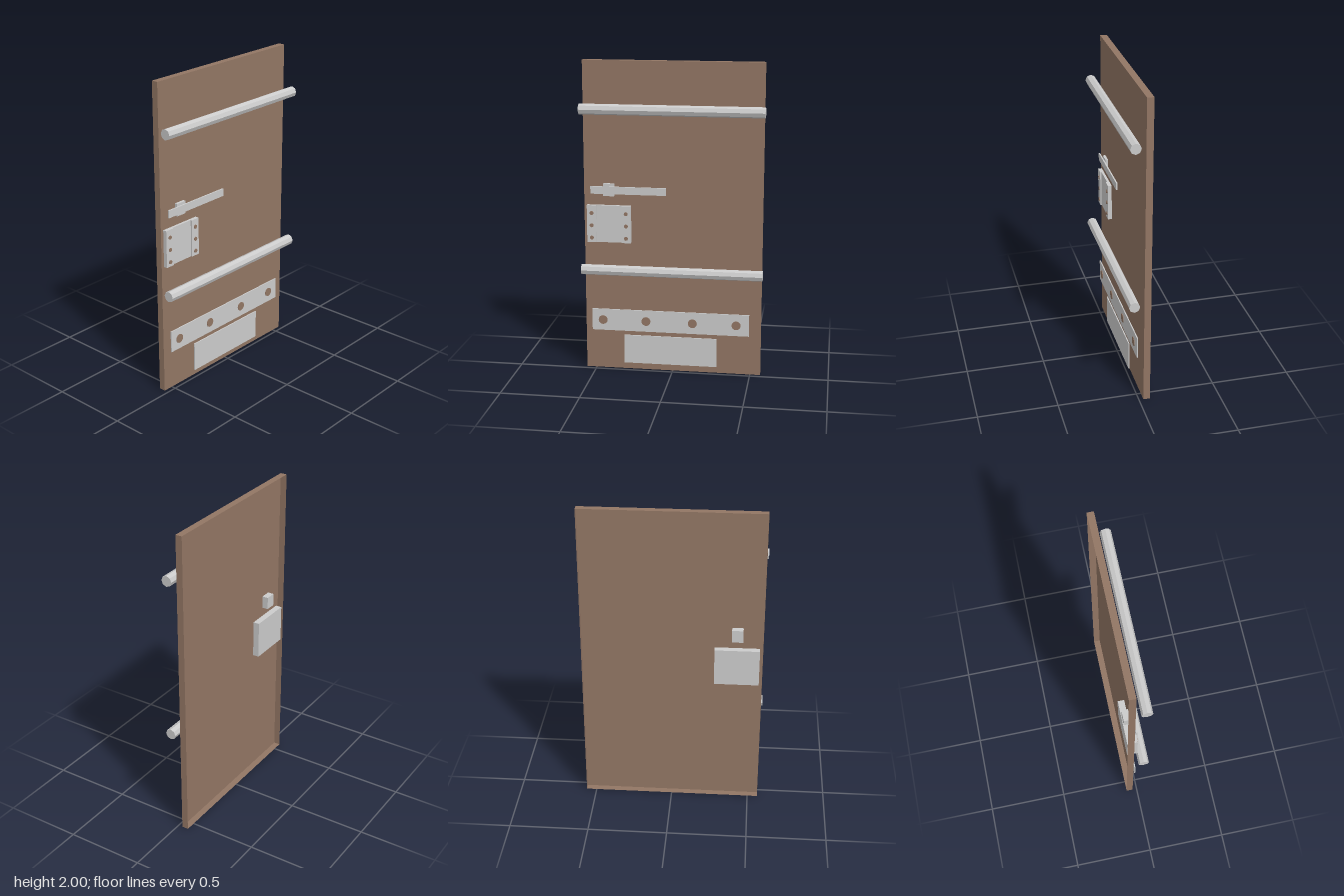
import * as THREE from 'three';

export function createModel() {
  const model = new THREE.Group();
  const metal = new THREE.MeshStandardMaterial({ color: 0xcccccc, flatShading: true });
  const brown = new THREE.MeshStandardMaterial({ color: 0x927664, flatShading: true });
  const brownSheet = new THREE.MeshStandardMaterial({ color: 0x927664, side: THREE.DoubleSide });

  function add(name, geometry, material, parent = model) {
    const mesh = new THREE.Mesh(geometry, material);
    mesh.name = name;
    parent.add(mesh);
    return mesh;
  }

  // Box given by its limits on each axis
  function box(name, [x0, x1], [y0, y1], [z0, z1], material = metal, parent = model) {
    const mesh = add(name, new THREE.BoxGeometry(x1 - x0, y1 - y0, z1 - z0), material, parent);
    mesh.position.set((x0 + x1) / 2, (y0 + y1) / 2, (z0 + z1) / 2);
    return mesh;
  }

  // Thin round inset facing the front
  function disc(name, x, y, r, parent) {
    const mesh = add(name, new THREE.CylinderGeometry(r, r, 0.004, 16), brown, parent);
    mesh.rotation.x = Math.PI / 2;
    mesh.position.set(x, y, -0.001);
  }

  // Door: a thin shell, open at the back
  const door = new THREE.Group();
  door.name = 'door';
  model.add(door);
  const W = 1.13, H = 2, back = -0.07, front = -0.028, depth = front - back;
  add('doorFront', new THREE.PlaneGeometry(W, H), brownSheet, door).position.set(0, H / 2, front);
  for (const s of [-1, 1]) {
    const side = add('doorSide', new THREE.PlaneGeometry(depth, H), brownSheet, door);
    side.rotation.y = s * Math.PI / 2;
    side.position.set(s * W / 2, H / 2, (front + back) / 2);
    const end = add('doorEnd', new THREE.PlaneGeometry(W, depth), brownSheet, door);
    end.rotation.x = -s * Math.PI / 2;
    end.position.set(0, s > 0 ? H : 0, (front + back) / 2);
  }

  // Two eight-sided bars across the front
  for (const y of [0.68, 1.705]) {
    const bar = add('crossBar', new THREE.CylinderGeometry(0.034, 0.034, 1.15, 8), metal);
    bar.rotation.z = Math.PI / 2;
    bar.position.set(0, y, 0.035);
  }

  // Lock: a block through the door with a raised strip of bolts on each side
  const lock = new THREE.Group();
  lock.name = 'lock';
  model.add(lock);
  box('lockBlock', [-0.545, -0.265], [0.85, 1.09], [-0.068, -0.012], metal, lock);
  for (const s of [-1, 1]) {
    const x = -0.405 + s * 0.11;
    box('lockStrip', [x - 0.03, x + 0.03], [0.85, 1.09], [-0.012, -0.003], metal, lock);
    for (const y of [0.88, 0.96, 1.04]) disc('lockBolt', x, y, 0.0125, lock);
  }

  // Handle lever on its mount
  box('handleMount', [-0.44, -0.37], [1.15, 1.23], [-0.068, -0.011]);
  box('handleLever', [-0.52, -0.04], [1.165, 1.213], [-0.011, -0.002]);

  // Lower plates
  box('boltPlate', [-0.52, 0.492], [0.265, 0.407], [-0.01, -0.003]);
  for (const x of [-0.45, -0.17, 0.13, 0.41]) disc('plateBolt', x, 0.335, 0.029, model);
  box('kickPlate', [-0.313, 0.286], [0.048, 0.237], [-0.01, -0.003]);

  return model;
}
